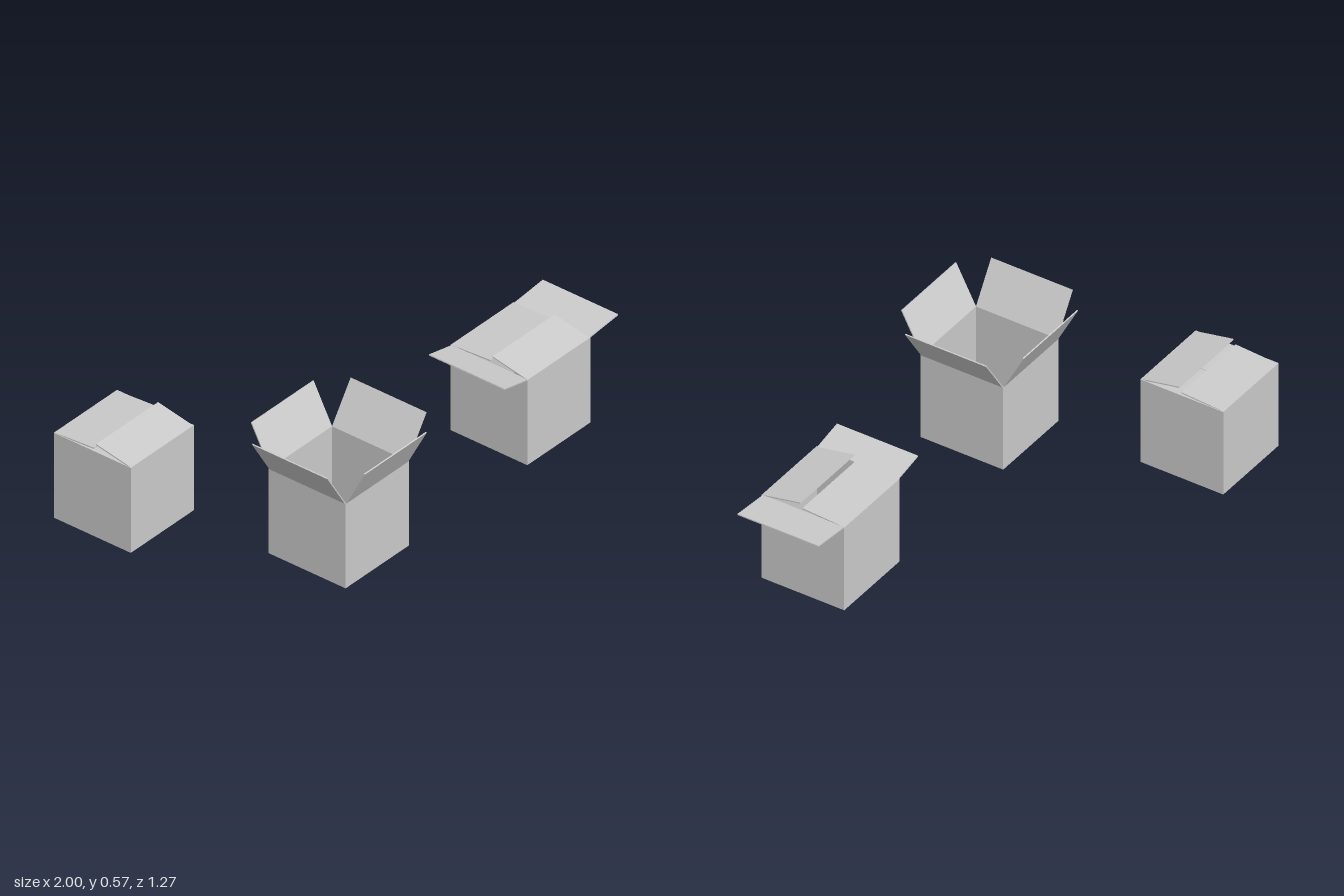
import * as THREE from 'three';

const W = 0.385;   // box width and depth
const H = 0.395;   // wall height
const T = 0.005;   // board thickness
const board = new THREE.MeshStandardMaterial({ color: 0xcccccc, flatShading: true });

function panel(parent, name, size, pos) {
  const mesh = new THREE.Mesh(new THREE.BoxGeometry(...size), board);
  mesh.name = name;
  mesh.position.set(...pos);
  parent.add(mesh);
  return mesh;
}

// Sides in order, each turned so that its outward direction is local +z
const sides = [
  ['front', 0],
  ['left', Math.PI / 2],
  ['back', Math.PI],
  ['right', -Math.PI / 2],
];

// flaps: per side [length, opening angle in degrees above the outward horizontal]
function makeBox(name, x, z, flaps) {
  const box = new THREE.Group();
  box.name = name;
  box.position.set(x, 0, z);

  sides.forEach(([side, turn], i) => {
    const group = new THREE.Group();
    group.name = side + 'Side';
    group.rotation.y = turn;
    box.add(group);

    // Front and back walls span the full width, the others fit between them
    const wallWidth = i % 2 ? W - 2 * T : W;
    panel(group, side + 'Wall', [wallWidth, H, T], [0, H / 2, W / 2 - T / 2]);

    // Top flap swings about the upper edge of its wall
    const [length, angle] = flaps[side];
    const hinge = new THREE.Group();
    hinge.name = side + 'FlapHinge';
    hinge.position.set(0, H - T / 2, W / 2 - T / 2);
    hinge.rotation.x = -THREE.MathUtils.degToRad(angle);
    group.add(hinge);
    panel(hinge, side + 'Flap', [W - 0.008, T, length], [0, 0, length / 2]);
  });

  // Two bottom flaps with a narrow seam running front to back
  const gap = 0.008;
  const half = (W - 2 * T - gap) / 2;
  for (const s of [-1, 1]) {
    panel(box, s > 0 ? 'leftBottomFlap' : 'rightBottomFlap',
      [half, T, W - 2 * T], [s * (gap + half) / 2, T / 2, 0]);
  }
  return box;
}

export function createModel() {
  const model = new THREE.Group();
  model.name = 'cardboardBoxes';

  // All flaps standing open
  model.add(makeBox('openBox', -0.47, 0.35, {
    front: [0.198, 62], back: [0.198, 62], left: [0.203, 56], right: [0.2, 58],
  }));

  // Front and back flaps folded over, side flaps tucked below
  model.add(makeBox('closedBox', -0.807, -0.447, {
    front: [0.178, 169], back: [0.195, 176.5], left: [0.189, 181], right: [0.189, 181],
  }));

  // Front and back flaps folded over, side flaps spread outward
  model.add(makeBox('halfOpenBox', 0.635, 0.35, {
    front: [0.178, 169], back: [0.195, 176.5], left: [0.176, 5.5], right: [0.14, 11.5],
  }));

  return model;
}
